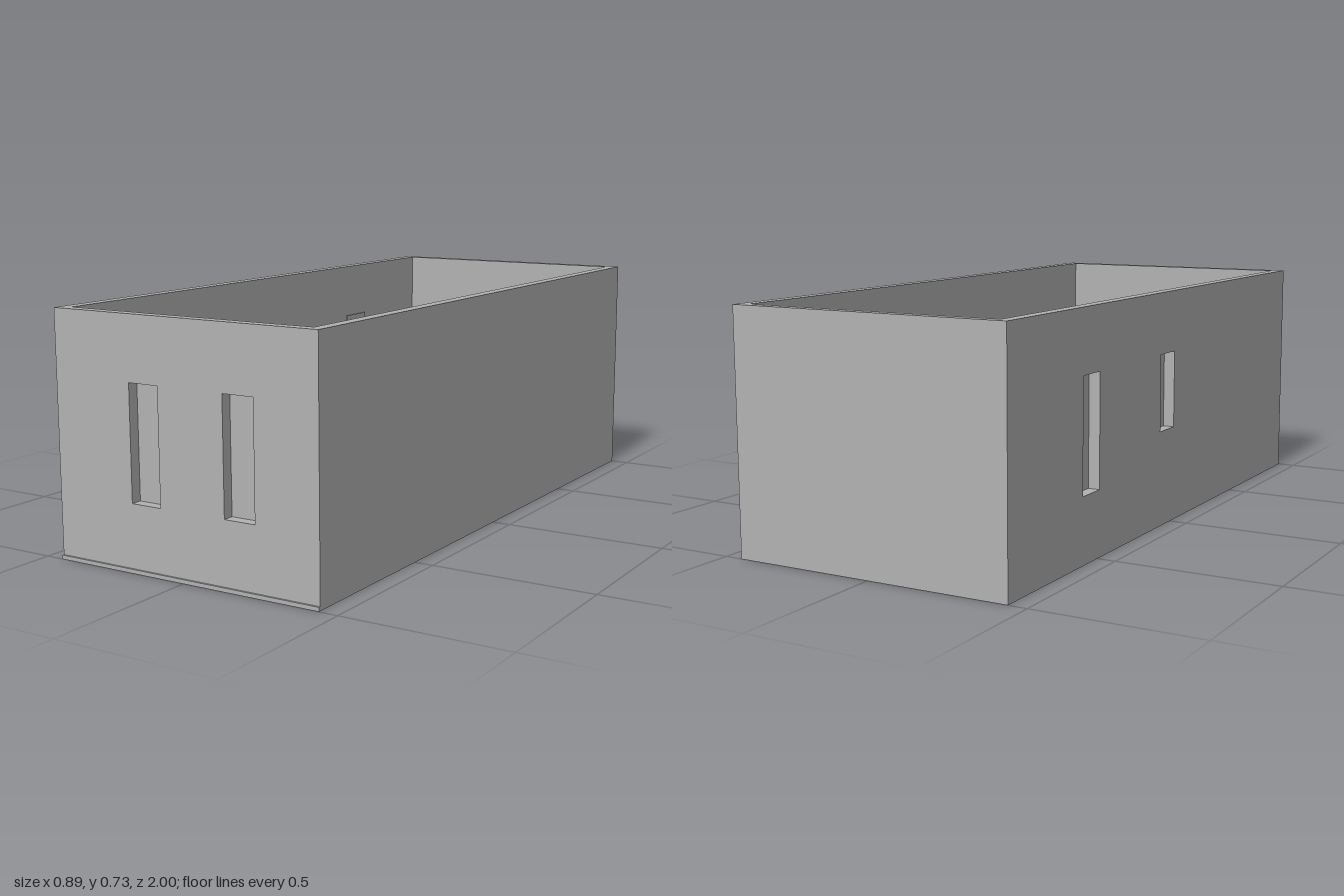
import * as THREE from 'three';

const HEIGHT = 0.73, HALF_W = 0.443;
const BOTTOM = 0.2, TOP = 0.54, MARGIN = 0.01, PANEL_DEPTH = 0.006;

const grey = new THREE.MeshStandardMaterial({ color: 0xb2b2b2 });
grey.name = 'plain grey';

function box(name, w, h, d, x, y, z) {
  const mesh = new THREE.Mesh(new THREE.BoxGeometry(w, h, d), grey);
  mesh.name = name;
  mesh.position.set(x, y, z);
  return mesh;
}

// Adds a clockwise rectangle to a wall as an opening
function cutWindow(shape, [x0, x1, y0, y1]) {
  const hole = new THREE.Path();
  hole.moveTo(x0, y0).lineTo(x0, y1).lineTo(x1, y1).lineTo(x1, y0).closePath();
  shape.holes.push(hole);
}

// A wall runs along local x from a to b; its inner face is z = 0 and +z points outward
function wall(name, a, b, thickness, windows = []) {
  const group = new THREE.Group();
  group.name = name;
  const shape = new THREE.Shape();
  shape.moveTo(a, 0).lineTo(b, 0).lineTo(b, HEIGHT).lineTo(a, HEIGHT).closePath();
  windows.forEach((w) => cutWindow(shape, w));
  const slab = new THREE.Mesh(
    new THREE.ExtrudeGeometry(shape, { depth: thickness, bevelEnabled: false }), grey);
  slab.name = name + 'Slab';
  group.add(slab);

  // Thin panel closing each window recess on the inside
  windows.forEach(([x0, x1, y0, y1]) => group.add(box('windowPanel',
    x1 - x0 + 2 * MARGIN, y1 - y0 + 2 * MARGIN, PANEL_DEPTH,
    (x0 + x1) / 2, (y0 + y1) / 2, -PANEL_DEPTH / 2)));
  return group;
}

export function createModel() {
  const model = new THREE.Group();
  model.name = 'openRoom';

  // Front wall with two equal windows
  const front = wall('frontWall', -HALF_W, HALF_W, 0.034,
    [[-0.178, -0.078, BOTTOM, TOP], [0.14, 0.24, BOTTOM, TOP]]);
  front.position.z = 0.96;

  const back = wall('backWall', -HALF_W, HALF_W, 0.03);
  back.rotation.y = Math.PI;
  back.position.z = -0.97;

  // Side wall at -x with one tall and one shorter window
  const right = wall('rightWall', -0.97, 0.96, 0.035,
    [[-0.59, -0.49, BOTTOM, TOP], [-0.08, 0.02, 0.3, TOP]]);
  right.rotation.y = -Math.PI / 2;
  right.position.x = -HALF_W + 0.035;

  const left = wall('leftWall', -0.96, 0.97, 0.035);
  left.rotation.y = Math.PI / 2;
  left.position.x = HALF_W - 0.035;

  // Low lip along the foot of the front wall
  const lip = box('frontLip', 2 * HALF_W, 0.012, 0.006, 0, 0.006, 0.997);

  model.add(front, back, right, left, lip);
  return model;
}
